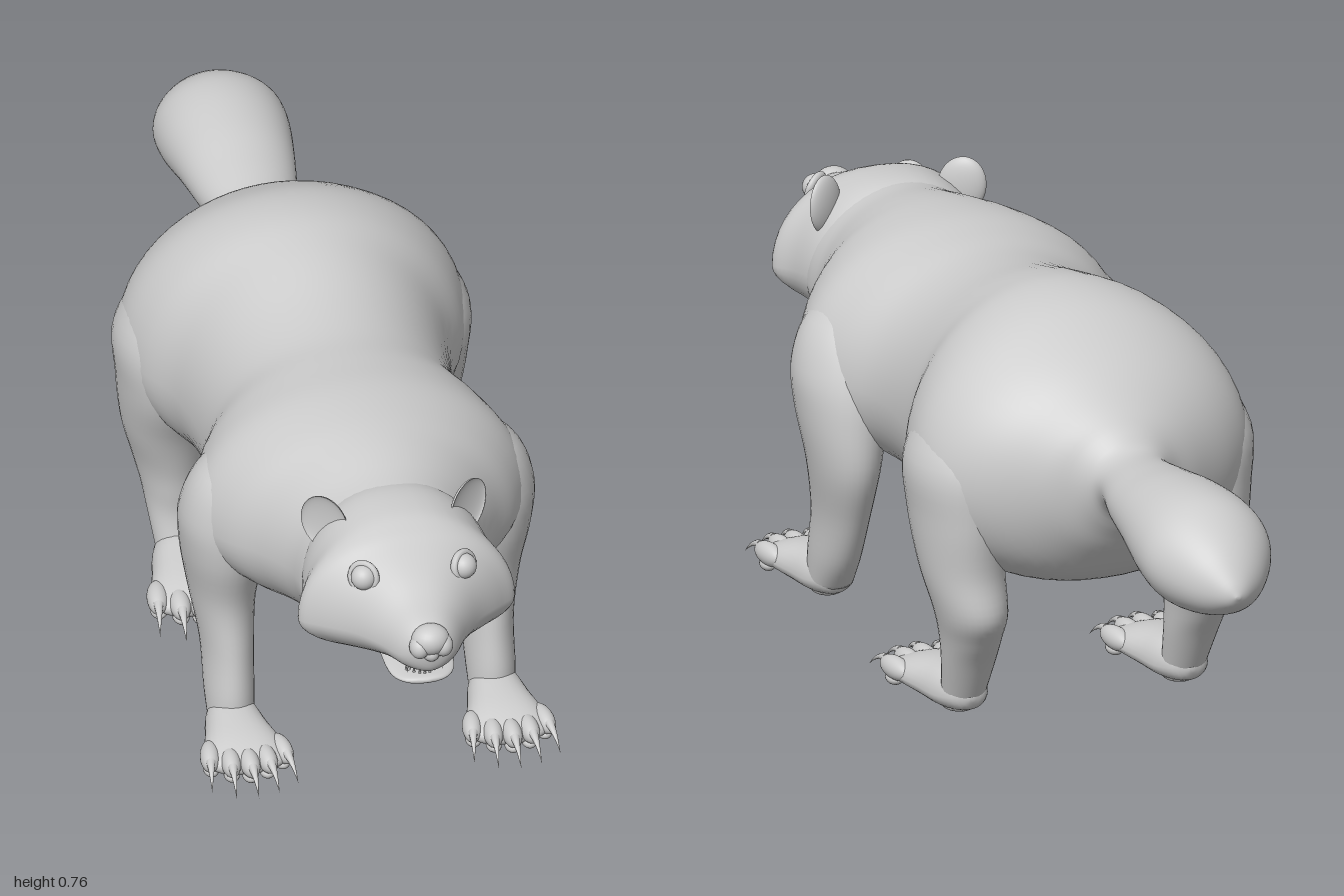
import * as THREE from 'three';

const material = new THREE.MeshStandardMaterial({ color: 0xcccccc, roughness: 0.8 });

function addMesh(parent, name, geometry, position = [0, 0, 0], scale = [1, 1, 1]) {
  const mesh = new THREE.Mesh(geometry, material);
  mesh.name = name;
  mesh.position.set(...position);
  mesh.scale.set(...scale);
  parent.add(mesh);
  return mesh;
}

// Smooth interpolation between rows of numbers
function sample(rows, t) {
  const i = Math.min(Math.floor(t), rows.length - 2), f = t - i;
  const row = k => rows[Math.max(0, Math.min(rows.length - 1, k))];
  return rows[0].map((_, c) => {
    const [a, b, d, e] = [row(i - 1)[c], row(i)[c], row(i + 1)[c], row(i + 2)[c]];
    return b + 0.5 * f * (d - a + f * (2 * a - 5 * b + 4 * d - e + f * (3 * (b - d) + e - a)));
  });
}

// Skin a series of rings; point(section, angle) gives one corner
function loft(rows, point, sides = 40, steps = 5) {
  const pos = [], index = [], rings = (rows.length - 1) * steps;
  for (let i = 0; i <= rings; i++) {
    const section = sample(rows, i / steps);
    for (let j = 0; j < sides; j++) pos.push(...point(section, (j / sides) * Math.PI * 2));
  }
  for (let i = 0; i < rings; i++) for (let j = 0; j < sides; j++) {
    const a = i * sides + j, b = i * sides + (j + 1) % sides;
    index.push(a, b, a + sides, b, b + sides, a + sides);
  }
  const last = rings * sides;
  for (let j = 1; j < sides - 1; j++) index.push(0, j + 1, j, last, last + j, last + j + 1);
  const geometry = new THREE.BufferGeometry();
  geometry.setAttribute('position', new THREE.Float32BufferAttribute(pos, 3));
  geometry.setIndex(index);
  geometry.computeVertexNormals();
  return geometry;
}

// Section along z: [z, top, bottom, half width, height of widest point]
const acrossZ = (upper = 1, lower = 1) => ([z, top, bottom, w, mid], angle) => {
  const c = Math.cos(angle), s = Math.sin(angle);
  const x = Math.sign(c) * Math.pow(Math.abs(c), s > 0 ? upper : lower) * w;
  return [x, mid + s * (s > 0 ? top - mid : mid - bottom), z];
};
// Section along y: [y, x, z, radius x, radius z]
const acrossY = ([y, x, z, rx, rz], angle) => [x + rx * Math.cos(angle), y, z - rz * Math.sin(angle)];

const ball = new THREE.SphereGeometry(1, 24, 16);

// Curved, tapering claw pointing along +z
const claw = new THREE.ConeGeometry(0.0085, 0.055, 10, 6);
claw.rotateX(Math.PI / 2).translate(0, 0, 0.0275);
{
  const p = claw.attributes.position;
  for (let i = 0; i < p.count; i++) p.setY(i, p.getY(i) - 10 * p.getZ(i) ** 2);
  claw.computeVertexNormals();
}

// Cupped ear shell: the front half of a ball is pushed in
const earShell = new THREE.SphereGeometry(1, 32, 24);
{
  const p = earShell.attributes.position;
  for (let i = 0; i < p.count; i++) if (p.getZ(i) > 0) p.setZ(i, -0.5 * p.getZ(i));
  earShell.computeVertexNormals();
}

function makeFoot(name) {
  const foot = new THREE.Group();
  foot.name = name;
  addMesh(foot, 'footBody', loft([
    [0, 0.045, 0.035, 0.004, 0.04], [0.012, 0.07, 0.015, 0.03, 0.04], [0.05, 0.085, 0.006, 0.047, 0.035],
    [0.1, 0.082, 0.006, 0.058, 0.035], [0.16, 0.072, 0.01, 0.072, 0.036], [0.205, 0.055, 0.018, 0.062, 0.036],
    [0.22, 0.042, 0.03, 0.01, 0.036]], acrossZ(0.9, 0.9), 28, 4));
  for (let i = -2; i <= 2; i++) {
    const x = i * 0.032, z = 0.205 - 0.008 * i * i, turn = i * 0.08;
    addMesh(foot, 'toe', ball, [x, 0.042, z], [0.018, 0.021, 0.042]).rotation.y = turn;
    addMesh(foot, 'toePad', ball, [x, 0.021, z + 0.008], [0.014, 0.012, 0.02]);
    addMesh(foot, 'claw', claw, [x + turn * 0.03, 0.05, z + 0.03]).rotation.y = turn;
  }
  addMesh(foot, 'solePad', ball, [0, 0.016, 0.125], [0.045, 0.014, 0.035]);
  addMesh(foot, 'heelPad', ball, [0, 0.013, 0.055], [0.03, 0.013, 0.03]);
  return foot;
}

export function createModel() {
  const model = new THREE.Group();
  model.name = 'animal';

  // Trunk, neck and bushy tail as one skin
  addMesh(model, 'bodyAndTail', loft([
    [-1, 0.468, 0.462, 0.004, 0.465], [-0.985, 0.495, 0.44, 0.03, 0.466], [-0.94, 0.545, 0.413, 0.075, 0.475],
    [-0.87, 0.588, 0.4, 0.113, 0.49], [-0.8, 0.6, 0.408, 0.118, 0.5], [-0.7, 0.592, 0.435, 0.106, 0.51],
    [-0.6, 0.575, 0.448, 0.09, 0.51], [-0.505, 0.565, 0.45, 0.07, 0.51], [-0.465, 0.59, 0.405, 0.09, 0.5],
    [-0.43, 0.622, 0.355, 0.15, 0.49], [-0.37, 0.675, 0.29, 0.235, 0.48], [-0.3, 0.717, 0.262, 0.292, 0.47],
    [-0.22, 0.752, 0.26, 0.31, 0.47], [-0.13, 0.763, 0.262, 0.292, 0.47], [-0.04, 0.75, 0.265, 0.25, 0.47],
    [0.08, 0.72, 0.27, 0.232, 0.47], [0.18, 0.707, 0.28, 0.24, 0.47], [0.27, 0.71, 0.295, 0.28, 0.47],
    [0.36, 0.715, 0.315, 0.3, 0.47], [0.45, 0.71, 0.33, 0.265, 0.48], [0.52, 0.7, 0.345, 0.215, 0.49],
    [0.6, 0.683, 0.365, 0.176, 0.5], [0.7, 0.665, 0.41, 0.155, 0.51], [0.74, 0.6, 0.47, 0.06, 0.52]],
  acrossZ(1, 0.9), 56, 5));

  // Head: flat brow, flared cheeks, tapering snout
  const head = new THREE.Group();
  head.name = 'head';
  model.add(head);
  addMesh(head, 'skull', loft([
    [0.56, 0.65, 0.42, 0.11, 0.52], [0.64, 0.68, 0.39, 0.16, 0.52], [0.72, 0.681, 0.402, 0.178, 0.51],
    [0.765, 0.668, 0.425, 0.195, 0.505], [0.8, 0.652, 0.44, 0.165, 0.51], [0.85, 0.63, 0.458, 0.115, 0.52],
    [0.9, 0.606, 0.478, 0.08, 0.525], [0.95, 0.59, 0.49, 0.054, 0.53], [0.972, 0.575, 0.505, 0.033, 0.54],
    [0.98, 0.55, 0.538, 0.004, 0.544]], acrossZ(0.9, 1.15), 48, 5));
  addMesh(head, 'lowerJaw', loft([
    [0.78, 0.475, 0.44, 0.06, 0.46], [0.86, 0.47, 0.441, 0.062, 0.46], [0.905, 0.466, 0.445, 0.055, 0.457],
    [0.93, 0.464, 0.45, 0.035, 0.457], [0.937, 0.459, 0.455, 0.005, 0.457]], acrossZ(0.8, 0.9), 28, 4));
  addMesh(head, 'nose', ball, [0, 0.566, 0.968], [0.034, 0.028, 0.03]);
  addMesh(head, 'noseTip', ball, [0, 0.542, 0.97], [0.016, 0.017, 0.022]);

  for (const s of [-1, 1]) {
    addMesh(head, 'nostrilLobe', ball, [s * 0.021, 0.556, 0.974], [0.018, 0.021, 0.022]);
    addMesh(head, 'eye', ball, [s * 0.09, 0.618, 0.826], [0.023, 0.023, 0.023]);
    const lid = addMesh(head, 'eyelid', new THREE.TorusGeometry(0.024, 0.007, 8, 28), [s * 0.09, 0.617, 0.824]);
    lid.rotation.set(-0.35, s * 0.65, 0);
    const ear = addMesh(head, 'ear', earShell, [s * 0.13, 0.642, 0.678], [0.044, 0.055, 0.018]);
    ear.rotation.set(0, s * 0.6, s * -0.25);
  }

  // Teeth along both jaws, with longer canines
  for (let i = -3; i <= 3; i++) {
    const long = Math.abs(i) === 3, h = long ? 0.028 : 0.014;
    const z = 0.937 - 0.002 * i * i;
    const tooth = new THREE.ConeGeometry(long ? 0.006 : 0.004, h, 8);
    addMesh(head, 'upperTooth', tooth, [i * 0.0105, 0.497 - h / 2, z]).rotation.x = Math.PI;
    addMesh(head, 'lowerTooth', tooth, [i * 0.009, 0.46 + h / 2, z - 0.016]);
  }

  // Legs: rows run from the ankle up into the trunk
  const foreRows = [
    [0.05, 0.235, 0.38, 0.04, 0.042], [0.11, 0.235, 0.36, 0.044, 0.066], [0.2, 0.234, 0.332, 0.047, 0.082],
    [0.3, 0.238, 0.308, 0.06, 0.1], [0.4, 0.235, 0.322, 0.08, 0.115], [0.48, 0.215, 0.335, 0.102, 0.115],
    [0.56, 0.175, 0.345, 0.11, 0.1], [0.63, 0.12, 0.345, 0.08, 0.06]];
  const hindRows = [
    [0.03, 0.208, -0.195, 0.038, 0.038], [0.11, 0.21, -0.228, 0.048, 0.05], [0.165, 0.213, -0.246, 0.054, 0.07],
    [0.22, 0.218, -0.258, 0.063, 0.09], [0.3, 0.228, -0.242, 0.074, 0.098], [0.4, 0.228, -0.225, 0.086, 0.125],
    [0.5, 0.215, -0.22, 0.102, 0.13], [0.6, 0.16, -0.21, 0.1, 0.1], [0.67, 0.11, -0.2, 0.07, 0.06]];
  for (const s of [-1, 1]) {
    const side = s > 0 ? 'left' : 'right';
    const mirror = rows => rows.map(([y, x, ...rest]) => [y, s * x, ...rest]);
    addMesh(model, side + 'ForeLeg', loft(mirror(foreRows), acrossY, 36, 5));
    addMesh(model, side + 'HindLeg', loft(mirror(hindRows), acrossY, 36, 5));
    const fore = makeFoot(side + 'ForeFoot'), hind = makeFoot(side + 'HindFoot');
    fore.position.set(s * 0.236, 0.024, 0.335);
    hind.position.set(s * 0.208, 0, -0.24);
    hind.scale.set(1.08, 1, 1.1);
    model.add(fore, hind);
  }
  return model;
}
